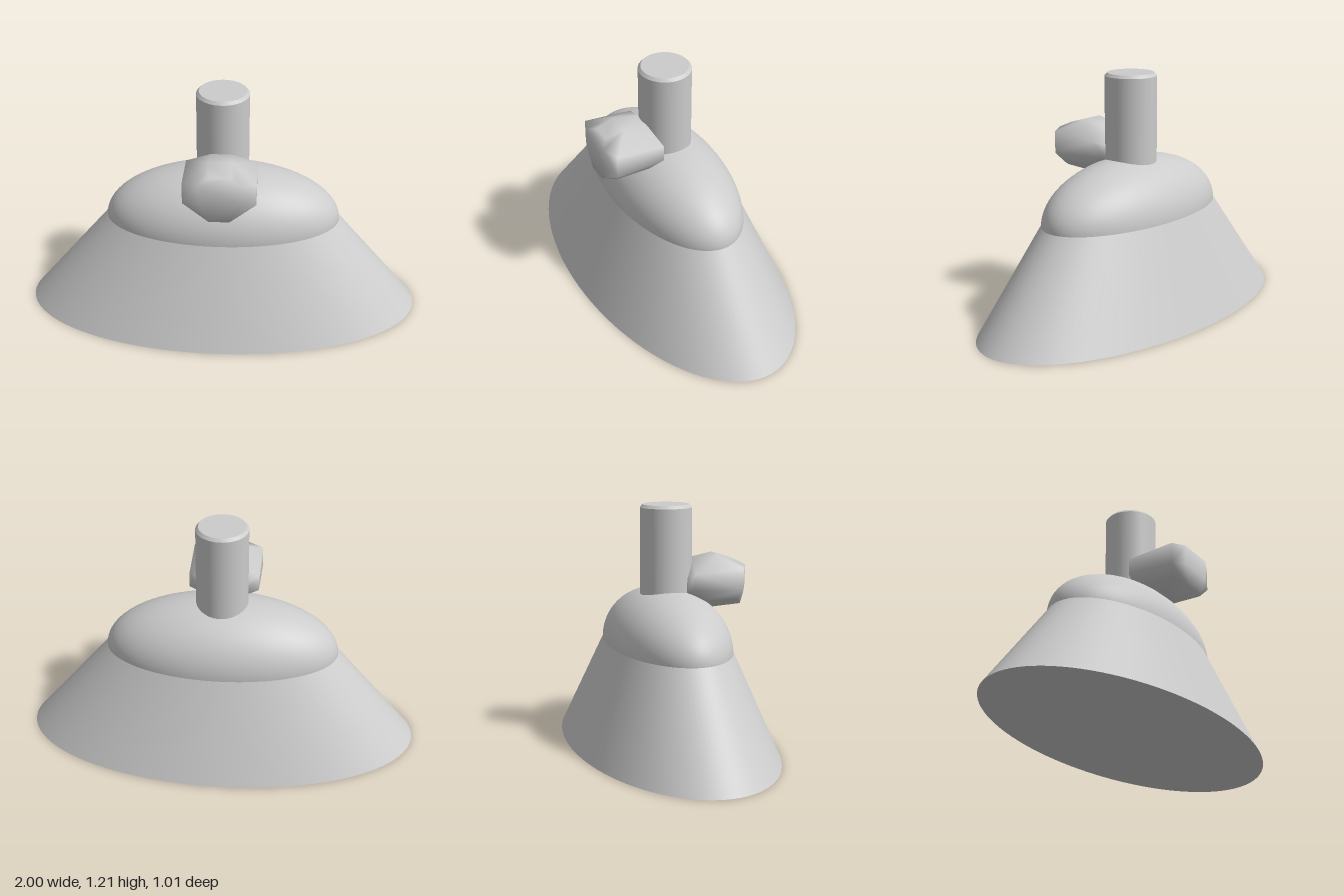
import * as THREE from 'three';
import { ConvexGeometry } from 'three/addons/geometries/ConvexGeometry.js';
import { mergeVertices } from 'three/addons/utils/BufferGeometryUtils.js';

const DEPTH = 0.507; // oval depth relative to width

export function createModel() {
  const group = new THREE.Group();
  const material = new THREE.MeshStandardMaterial({ color: 0xcccccc });
  const add = (name, geometry) => {
    const mesh = new THREE.Mesh(geometry, material);
    mesh.name = name;
    group.add(mesh);
    return mesh;
  };

  // Oval flared skirt, closed underneath
  add('skirt', new THREE.CylinderGeometry(0.59, 1, 0.5, 96).translate(0, 0.25, 0).scale(1, 1, DEPTH));

  // Domed shoulder above the skirt
  add('dome', new THREE.SphereGeometry(1, 96, 24, 0, Math.PI * 2, 0, Math.PI / 2)
    .scale(0.59, 0.284, 0.59 * DEPTH).translate(0, 0.5, 0));

  // Upright neck with a small bevel on its top rim
  add('neck', new THREE.CylinderGeometry(0.13, 0.13, 0.64, 48, 1, true).translate(0, 0.87, 0));
  add('neckBevel', new THREE.CylinderGeometry(0.117, 0.13, 0.015, 48).translate(0, 1.1975, 0));

  // Faceted knob in front of the neck: one side's corners, mirrored across x
  const corners = [
    [0.08, 0.83, 0.077], [0.1, 0.77, 0.077],
    [0.175, 0.87, 0.1], [0.175, 0.79, 0.1],
    [0.05, 0.925, 0.125], [0.06, 0.95, 0.255],
    [0.177, 0.89, 0.35], [0.177, 0.78, 0.35], [0.05, 0.922, 0.35],
    [0.1, 0.9, 0.385], [0.1, 0.8, 0.382], [0.05, 0.695, 0.376],
    [0.05, 0.685, 0.23], [0.13, 0.73, 0.33], [0.13, 0.73, 0.16],
  ];
  const points = corners.flatMap(([x, y, z]) => [new THREE.Vector3(x, y, z), new THREE.Vector3(-x, y, z)]);
  let knob = new ConvexGeometry(points);
  knob.deleteAttribute('normal');
  knob = mergeVertices(knob);
  knob.computeVertexNormals();
  add('knob', knob);

  return group;
}
